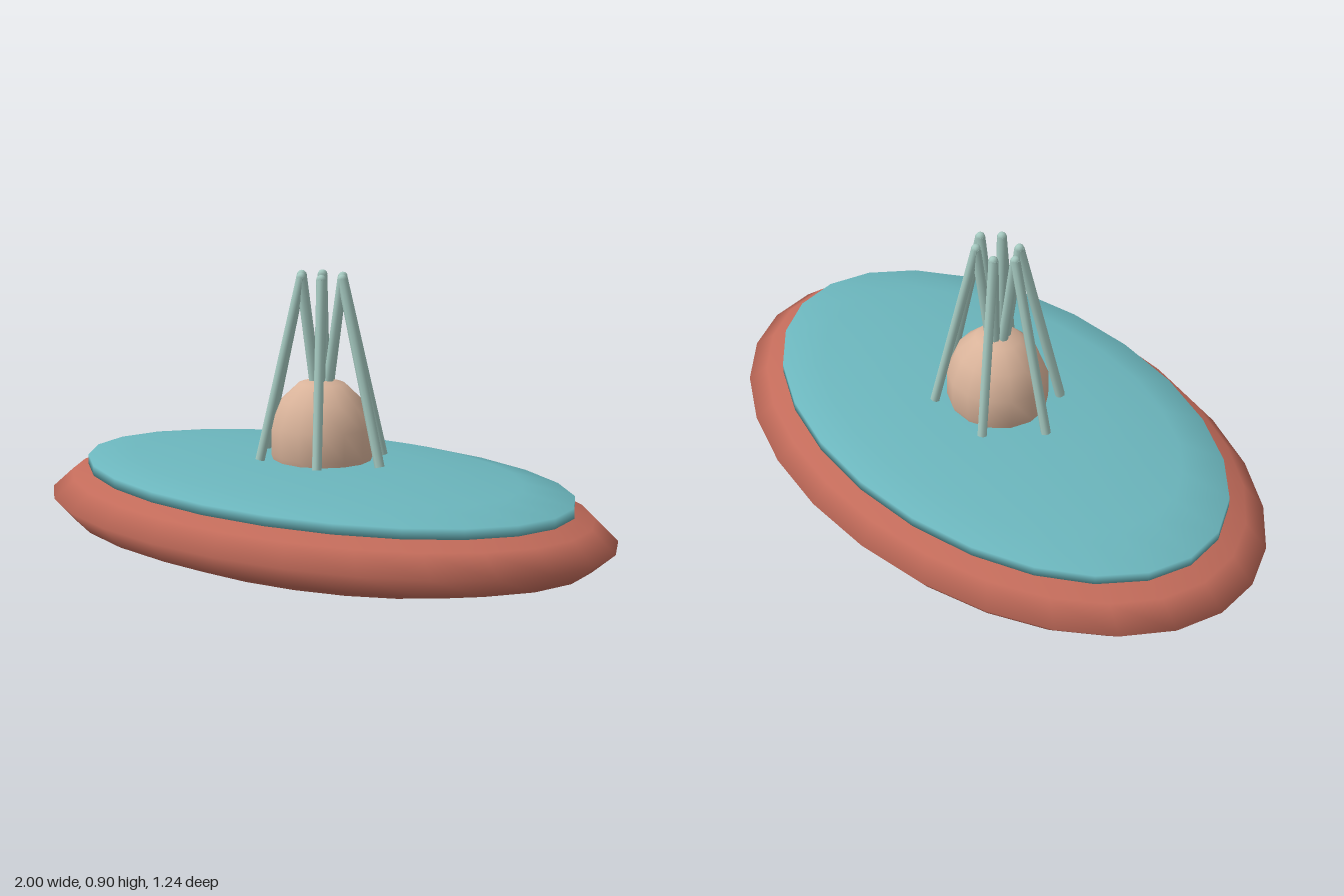
import * as THREE from 'three';

const red = new THREE.MeshStandardMaterial({ name: 'brick red', color: 0xc26b5a });
const teal = new THREE.MeshStandardMaterial({ name: 'teal', color: 0x6bb5bc });
const peach = new THREE.MeshStandardMaterial({ name: 'peach', color: 0xd9b39a });
const mint = new THREE.MeshStandardMaterial({ name: 'pale mint', color: 0xa5c9c0 });

const LEGS = 6;
const LEG_RADIUS = 0.015;

// Smooth ellipsoid with baked-in radii
function ellipsoid(name, material, y, [rx, ry, rz], around, rows) {
  const geometry = new THREE.SphereGeometry(1, around, rows).scale(rx, ry, rz);
  const mesh = new THREE.Mesh(geometry, material);
  mesh.name = name;
  mesh.position.y = y;
  return mesh;
}

// Round rod between two points
function rod(name, a, b) {
  const dir = b.clone().sub(a);
  const mesh = new THREE.Mesh(new THREE.CylinderGeometry(LEG_RADIUS, LEG_RADIUS, dir.length(), 8), mint);
  mesh.name = name;
  mesh.position.copy(a).lerp(b, 0.5);
  mesh.quaternion.setFromUnitVectors(new THREE.Vector3(0, 1, 0), dir.normalize());
  return mesh;
}

// Bent leg: rises from the dome to a knee, then drops outward to the foot
function createLeg(angle) {
  const at = (rx, rz, y) => new THREE.Vector3(rx * Math.cos(angle), y, rz * Math.sin(angle));
  const hip = at(0.022, 0.022, 0.55);
  const knee = at(0.08, 0.057, 0.885);
  const foot = at(0.227, 0.178, 0.335);
  const leg = new THREE.Group();
  leg.name = 'leg';
  const joint = new THREE.Mesh(new THREE.SphereGeometry(LEG_RADIUS, 8, 6), mint);
  joint.name = 'knee';
  joint.position.copy(knee);
  leg.add(rod('upperLeg', hip, knee), rod('lowerLeg', knee, foot), joint);
  return leg;
}

export function createModel() {
  const model = new THREE.Group();
  model.name = 'leggedDomeOnOvalBase';

  // Stacked oval base and the dome on top
  model.add(
    ellipsoid('base', red, 0.163, [1, 0.163, 0.623], 26, 8),
    ellipsoid('topPad', teal, 0.265, [0.887, 0.07, 0.54], 24, 7),
    ellipsoid('dome', peach, 0.39, [0.165, 0.193, 0.154], 14, 7),
  );

  // Ring of legs
  for (let i = 0; i < LEGS; i++) model.add(createLeg((i / LEGS) * Math.PI * 2));

  return model;
}
